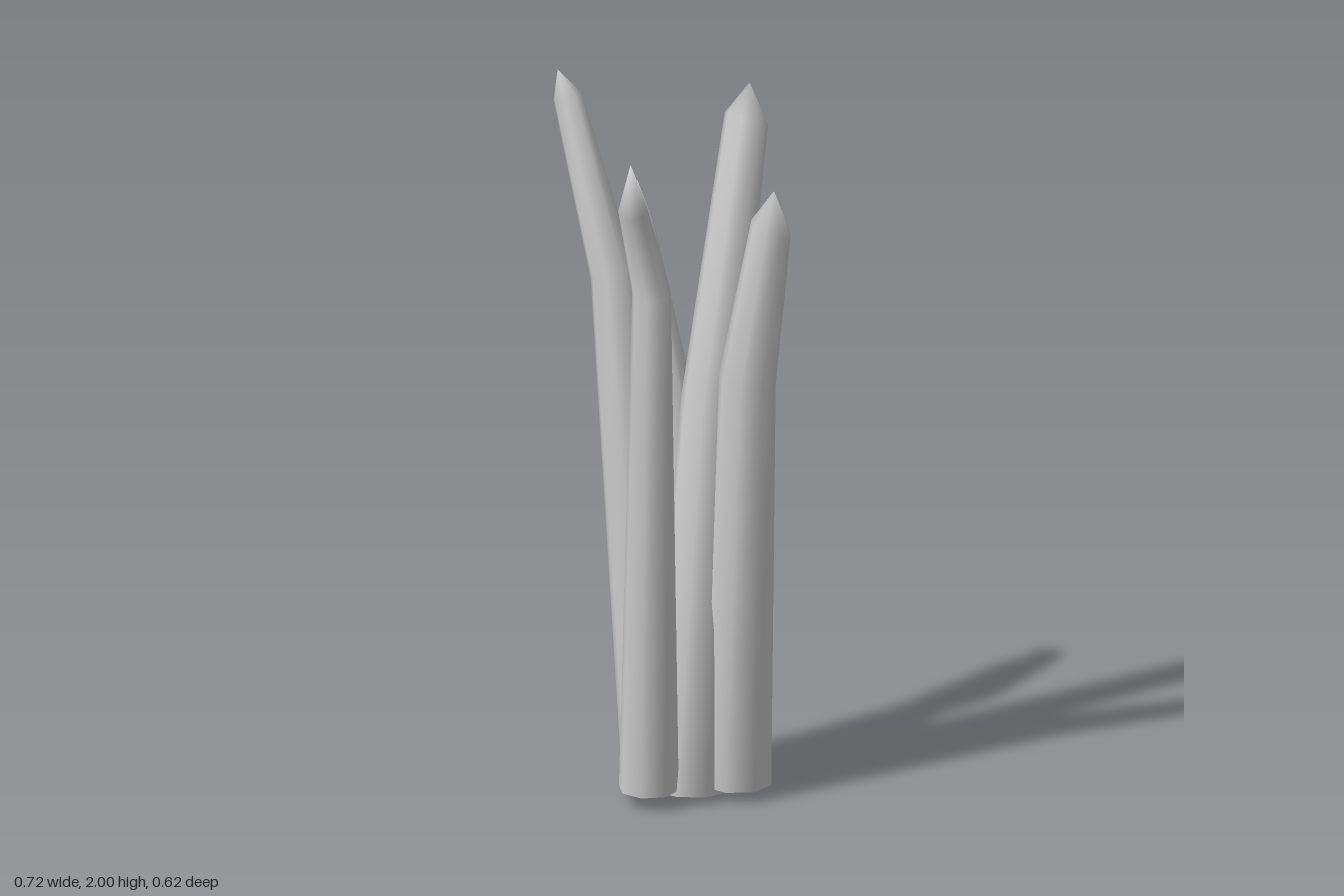
import * as THREE from 'three';

const SIDES = 8;
const V = (p) => new THREE.Vector3(p[0], p[1], p[2]);

// Lofts an octagonal stalk, open at the base, through rings [x, y, z, radius] to a pointed tip
function stalkGeometry(rings, tip, tipTilt) {
  const pos = [], index = [];
  const pts = [...rings.map(V), V(tip)];
  rings.forEach((ring, i) => {
    // Ring normal: the base follows its segment, bends and the tip ring lean further over
    const dir = i === 0
      ? pts[1].clone().sub(pts[0]).normalize()
      : pts[i].clone().sub(pts[i - 1]).normalize();
    if (i > 0) {
      if (i < rings.length - 1) dir.add(pts[i + 1].clone().sub(pts[i]).normalize());
      const gain = i === rings.length - 1 ? tipTilt : 1.6;
      dir.set(dir.x * gain, dir.y, dir.z * gain).normalize();
    }
    const u = new THREE.Vector3(1, 0, 0).addScaledVector(dir, -dir.x).normalize();
    const w = new THREE.Vector3().crossVectors(u, dir);
    for (let j = 0; j < SIDES; j++) {
      const a = ((j + 0.5) / SIDES) * Math.PI * 2;
      const r = ring[3] * 1.05;
      const p = pts[i].clone().addScaledVector(u, r * Math.cos(a)).addScaledVector(w, r * Math.sin(a));
      pos.push(p.x, p.y, p.z);
    }
  });
  pos.push(...tip);
  const apex = rings.length * SIDES;
  for (let i = 0; i < rings.length; i++) {
    for (let j = 0; j < SIDES; j++) {
      const k = (j + 1) % SIDES;
      const a = i * SIDES + j, b = i * SIDES + k;
      if (i === rings.length - 1) index.push(a, apex, b);
      else index.push(a, a + SIDES, b, b, a + SIDES, b + SIDES);
    }
  }
  const geo = new THREE.BufferGeometry();
  geo.setAttribute('position', new THREE.Float32BufferAttribute(pos, 3));
  geo.setIndex(index);
  geo.computeVertexNormals();
  return geo;
}

export function createModel() {
  const group = new THREE.Group();
  group.name = 'stalkCluster';
  const material = new THREE.MeshStandardMaterial({ color: 0xcccccc, side: THREE.DoubleSide });

  // Each stalk: base ring, bend ring, ring below the tip, then the tip
  const stalks = [
    { name: 'frontStalk', tip: [0.115, 1.9, 0.3], tilt: 1.4,
      rings: [[0.05, 0.045, 0.127, 0.08], [0.085, 1.49, 0.162, 0.052], [0.105, 1.76, 0.275, 0.04]] },
    { name: 'rightStalk', tip: [-0.352, 2.0, 0.0], tilt: 1,
      rings: [[0.0, 0.015, 0.01, 0.1], [-0.165, 1.45, 0.0, 0.062], [-0.325, 1.925, -0.01, 0.04]] },
    { name: 'backStalk', tip: [0.1, 1.98, -0.27], tilt: 2.5,
      rings: [[0.09, 0.02, 0.01, 0.1], [0.09, 1.1, -0.1, 0.078], [0.1, 1.88, -0.255, 0.06]] },
    { name: 'leftStalk', tip: [0.318, 1.76, -0.085], tilt: 2.5,
      rings: [[0.185, 0.035, -0.085, 0.098], [0.225, 1.2, -0.09, 0.076], [0.308, 1.65, -0.085, 0.056]] },
    { name: 'backRightStalk', tip: [-0.27, 1.63, -0.255], tilt: 1.4,
      rings: [[-0.02, 0.005, -0.125, 0.08], [-0.05, 0.87, -0.16, 0.075], [-0.23, 1.5, -0.215, 0.042]] },
  ];
  for (const s of stalks) {
    const mesh = new THREE.Mesh(stalkGeometry(s.rings, s.tip, s.tilt), material);
    mesh.name = s.name;
    group.add(mesh);
  }
  return group;
}
